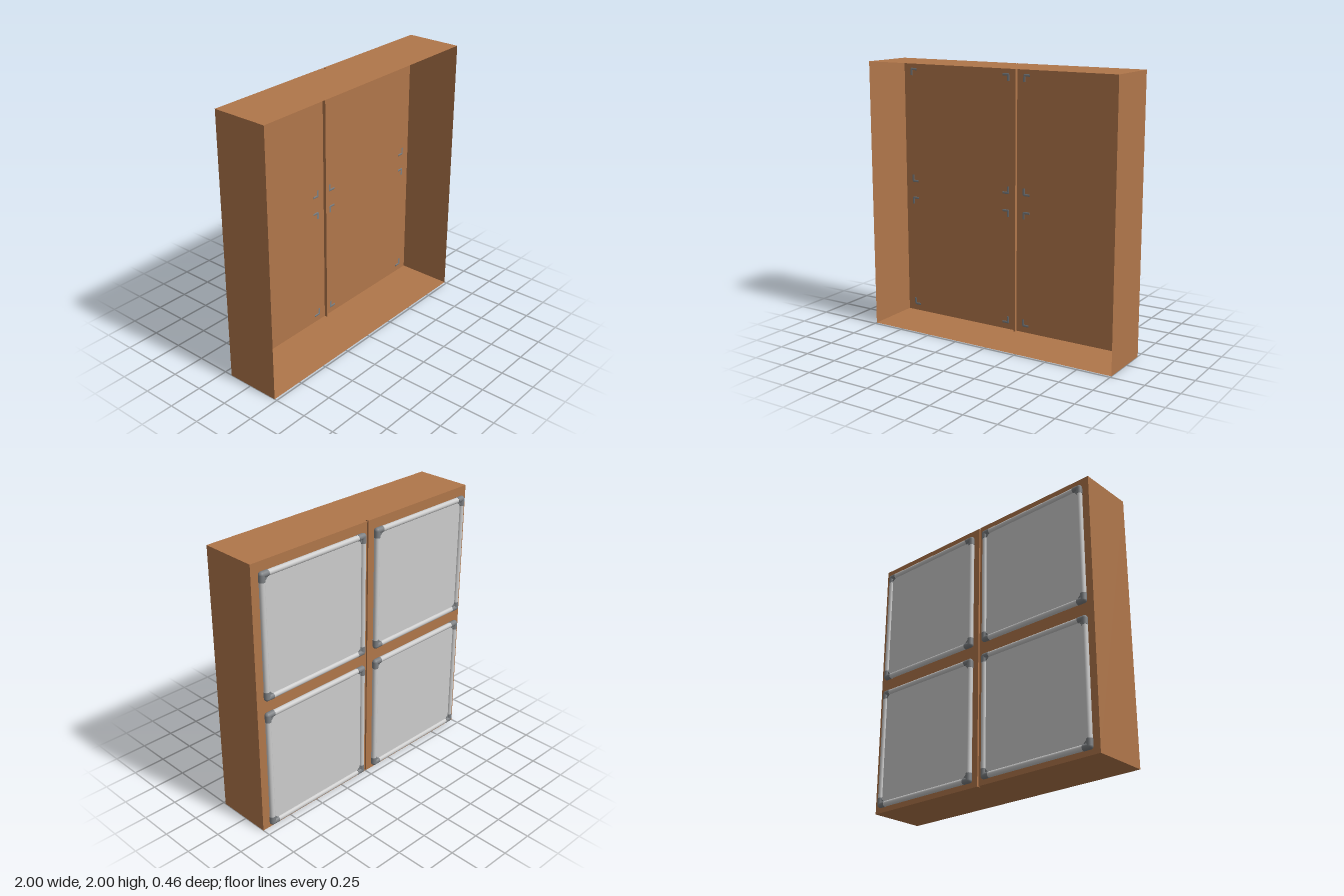
import * as THREE from 'three';

const wood = new THREE.MeshStandardMaterial({ name: 'wood', color: 0xb0764a, side: THREE.DoubleSide });
const paleGrey = new THREE.MeshStandardMaterial({ name: 'paleGrey', color: 0xcccccc });
const darkGrey = new THREE.MeshStandardMaterial({ name: 'darkGrey', color: 0x7d8083 });

const FRONT = 0.23, BACK = -0.188, HEIGHT = 2;
const HALF = 0.433, TUBE = 0.02, ELBOW = 0.022, TUBE_Z = -0.208;

function add(parent, name, geometry, material, x = 0, y = 0, z = 0) {
  const mesh = new THREE.Mesh(geometry, material);
  mesh.name = name;
  mesh.position.set(x, y, z);
  parent.add(mesh);
  return mesh;
}

// Thin-walled tray, open at the front, with a folded groove down the back
function createCase() {
  const group = new THREE.Group();
  group.name = 'case';
  const g = 0.006, d = BACK + 0.024;
  const outline = [[-1, FRONT], [-1, BACK], [-g, BACK], [-g, d], [g, d], [g, BACK], [1, BACK], [1, FRONT]];
  const names = ['rightWall', 'backRight', 'grooveRight', 'grooveFloor', 'grooveLeft', 'backLeft', 'leftWall'];
  names.forEach((name, i) => {
    const [ax, az] = outline[i], [bx, bz] = outline[i + 1];
    const wall = add(group, name, new THREE.PlaneGeometry(Math.hypot(bx - ax, bz - az), HEIGHT), wood,
      (ax + bx) / 2, HEIGHT / 2, (az + bz) / 2);
    // Turn each wall so its front faces outward
    wall.rotation.y = Math.atan2(bz - az, -(bx - ax));
  });
  const slab = new THREE.Shape(outline.map(([x, z]) => new THREE.Vector2(x, -z)));
  add(group, 'top', new THREE.ShapeGeometry(slab), wood, 0, HEIGHT, 0).rotation.x = -Math.PI / 2;
  const base = new THREE.Shape(outline.map(([x, z]) => new THREE.Vector2(x, z)));
  add(group, 'bottom', new THREE.ShapeGeometry(base), wood).rotation.x = Math.PI / 2;
  return group;
}

// Elbow with two sleeves and a small gusset, pointing down and to +x
function createCorner() {
  const group = new THREE.Group();
  group.name = 'cornerFitting';
  const length = 0.048;
  add(group, 'elbow', new THREE.SphereGeometry(ELBOW, 16, 12), darkGrey);
  const sleeve = new THREE.CylinderGeometry(ELBOW, ELBOW, length, 16);
  add(group, 'sleeveDown', sleeve, darkGrey, 0, -length / 2, 0);
  add(group, 'sleeveAcross', sleeve, darkGrey, length / 2, 0, 0).rotation.z = Math.PI / 2;
  const triangle = new THREE.Shape([
    new THREE.Vector2(0, 0), new THREE.Vector2(0, -0.062), new THREE.Vector2(0.062, 0)]);
  const gusset = new THREE.ExtrudeGeometry(triangle, { depth: 0.02, bevelEnabled: false });
  add(group, 'gusset', gusset, darkGrey, 0, 0, -0.01);
  return group;
}

// Square tube frame with a sheet inside and a fitting at every corner
function createFramedPanel(x, y) {
  const group = new THREE.Group();
  group.name = 'framedPanel';
  group.position.set(x, y, TUBE_Z);
  add(group, 'sheet', new THREE.BoxGeometry(2 * HALF, 2 * HALF, 0.008), paleGrey);
  const tube = new THREE.CylinderGeometry(TUBE, TUBE, 2 * HALF, 16);
  for (const s of [-1, 1]) {
    add(group, 'uprightTube', tube, paleGrey, s * HALF, 0, 0);
    add(group, 'crossTube', tube, paleGrey, 0, s * HALF, 0).rotation.z = Math.PI / 2;
  }
  for (let i = 0; i < 4; i++) {
    const corner = createCorner();
    const a = i * Math.PI / 2;
    corner.rotation.z = a;
    corner.position.set(-HALF * Math.cos(a) - HALF * Math.sin(a), HALF * Math.cos(a) - HALF * Math.sin(a), 0);
    group.add(corner);
  }
  return group;
}

export function createModel() {
  const model = new THREE.Group();
  model.name = 'panelCase';
  model.add(createCase());
  for (const x of [-0.503, 0.497]) {
    for (const y of [0.485, 1.485]) model.add(createFramedPanel(x, y));
  }
  return model;
}
